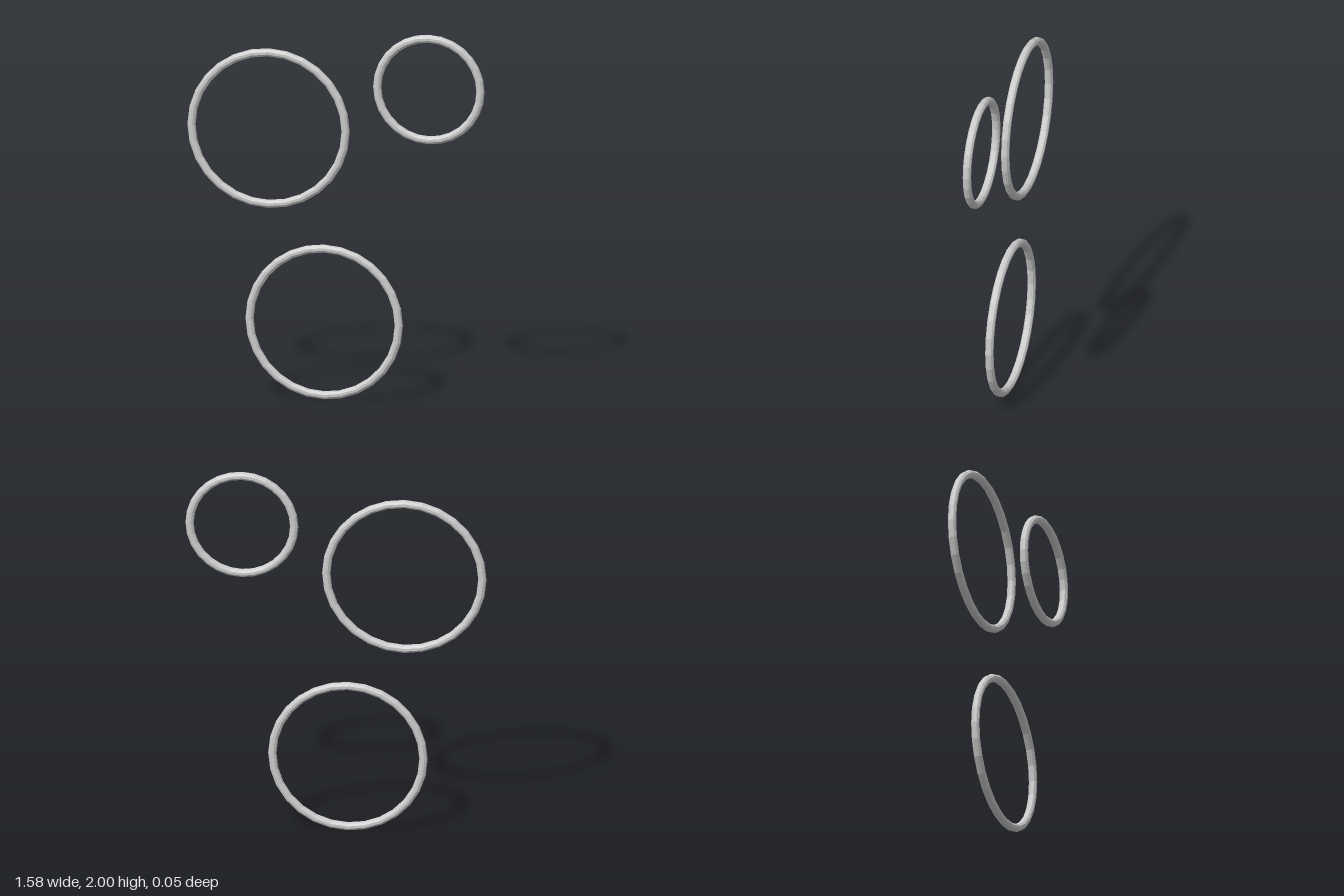
import * as THREE from 'three';

export function createModel() {
  const group = new THREE.Group();
  const material = new THREE.MeshStandardMaterial({ color: 0xcccccc, flatShading: true });
  const tube = 0.022;

  // Three upright hoops: outer radius and centre of each
  const rings = [
    { name: 'largeUpperRing', outer: 0.431, at: [-0.359, 1.45, -0.002] },
    { name: 'smallUpperRing', outer: 0.296, at: [0.492, 1.704, -0.002] },
    { name: 'lowerRing', outer: 0.418, at: [-0.063, 0.42, 0.002] },
  ];
  for (const { name, outer, at } of rings) {
    const ring = new THREE.Mesh(new THREE.TorusGeometry(outer - tube, tube, 10, 28), material);
    ring.name = name;
    ring.position.set(...at);
    group.add(ring);
  }
  return group;
}
